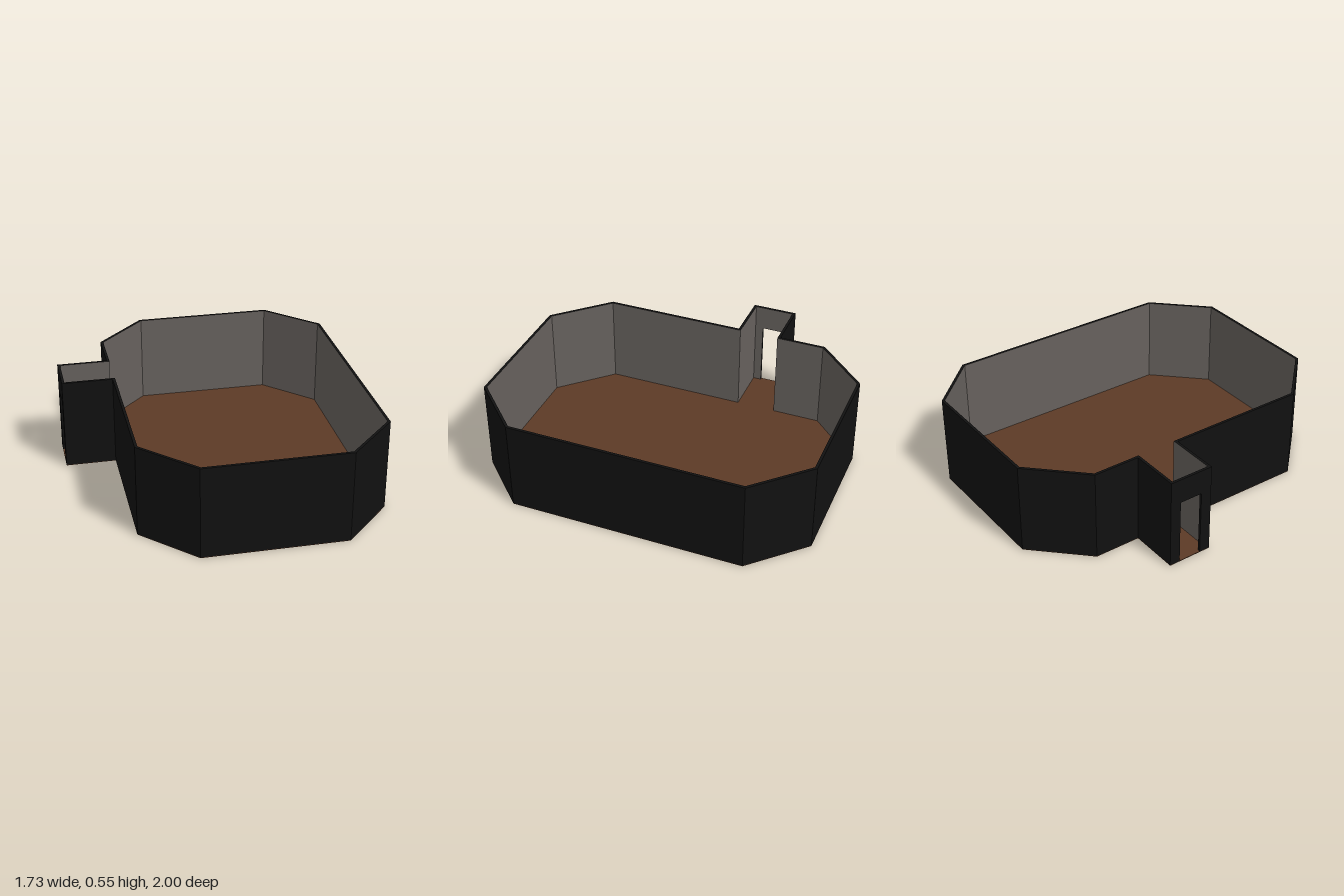
import * as THREE from 'three';

const HEIGHT = 0.55, THICK = 0.016, FLOOR = 0.004;

// Room footprint as [x, z], clockwise from above; the doorway edge is DOOR_EDGE
const OUTLINE = [
  [-0.27, -1], [0.57, -1], [0.865, -0.7], [0.865, 0.7], [0.57, 1], [-0.27, 1],
  [-0.565, 0.7], [-0.565, -0.15], [-0.865, -0.15], [-0.865, -0.42], [-0.565, -0.42], [-0.565, -0.7],
];
const DOOR_EDGE = 8, DOOR = { from: -0.215, to: -0.355, top: 0.4 };

// Mitred inward offset of the footprint
function insetOutline(points, t) {
  const n = points.length;
  const normal = (i) => {
    const [ax, az] = points[i % n], [bx, bz] = points[(i + 1) % n];
    const len = Math.hypot(bx - ax, bz - az);
    return [-(bz - az) / len, (bx - ax) / len];
  };
  return points.map(([x, z], i) => {
    const p = normal(i + n - 1), q = normal(i);
    const k = t / (1 + p[0] * q[0] + p[1] * q[1]);
    return [x + k * (p[0] + q[0]), z + k * (p[1] + q[1])];
  });
}

// Six-sided wall piece: group 0 is the outside, rim and ends; group 1 the room side
function wallGeometry(a, b, ai, bi, y0, y1) {
  const at = ([x, z], y) => [x, y, z];
  const A = at(a, y0), B = at(b, y0), C = at(ai, y0), D = at(bi, y0);
  const E = at(a, y1), F = at(b, y1), G = at(ai, y1), H = at(bi, y1);
  const quads = [
    [B, A, E, F], [E, G, H, F], [A, B, D, C], [A, C, G, E], [D, B, F, H], // outer shell
    [C, D, H, G], // room side
  ];
  const pos = quads.flatMap(([p, q, r, s]) => [p, q, r, p, r, s]).flat();
  const geo = new THREE.BufferGeometry();
  geo.setAttribute('position', new THREE.Float32BufferAttribute(pos, 3));
  geo.addGroup(0, 30, 0);
  geo.addGroup(30, 6, 1);
  geo.computeVertexNormals();
  return geo;
}

export function createModel() {
  const outside = new THREE.MeshStandardMaterial({ name: 'blackExterior', color: 0x111111 });
  const inside = new THREE.MeshStandardMaterial({ name: 'greyPlaster', color: 0x66615d });
  const wood = new THREE.MeshStandardMaterial({ name: 'brownFloor', color: 0x5c3a26 });

  const room = new THREE.Group();
  room.name = 'room';

  // Floor plate
  const shape = new THREE.Shape(OUTLINE.map(([x, z]) => new THREE.Vector2(x, -z)));
  const floorGeo = new THREE.ExtrudeGeometry(shape, { depth: FLOOR, bevelEnabled: false });
  floorGeo.rotateX(-Math.PI / 2);
  const floor = new THREE.Mesh(floorGeo, wood);
  floor.name = 'floor';
  room.add(floor);

  const addWall = (name, a, b, ai, bi, y0 = FLOOR, y1 = HEIGHT) => {
    const mesh = new THREE.Mesh(wallGeometry(a, b, ai, bi, y0, y1), [outside, inside]);
    mesh.name = name;
    room.add(mesh);
  };

  // Walls, with a doorway in the end of the entrance passage
  const inner = insetOutline(OUTLINE, THICK);
  OUTLINE.forEach((a, i) => {
    const j = (i + 1) % OUTLINE.length;
    const b = OUTLINE[j], ai = inner[i], bi = inner[j];
    if (i !== DOOR_EDGE) {
      addWall(`wall${i + 1}`, a, b, ai, bi);
      return;
    }
    const p = [a[0], DOOR.from], pi = [ai[0], DOOR.from];
    const q = [a[0], DOOR.to], qi = [ai[0], DOOR.to];
    addWall('doorSideFront', a, p, ai, pi);
    addWall('doorSideBack', q, b, qi, bi);
    addWall('doorLintel', p, q, pi, qi, DOOR.top);
  });

  return room;
}
